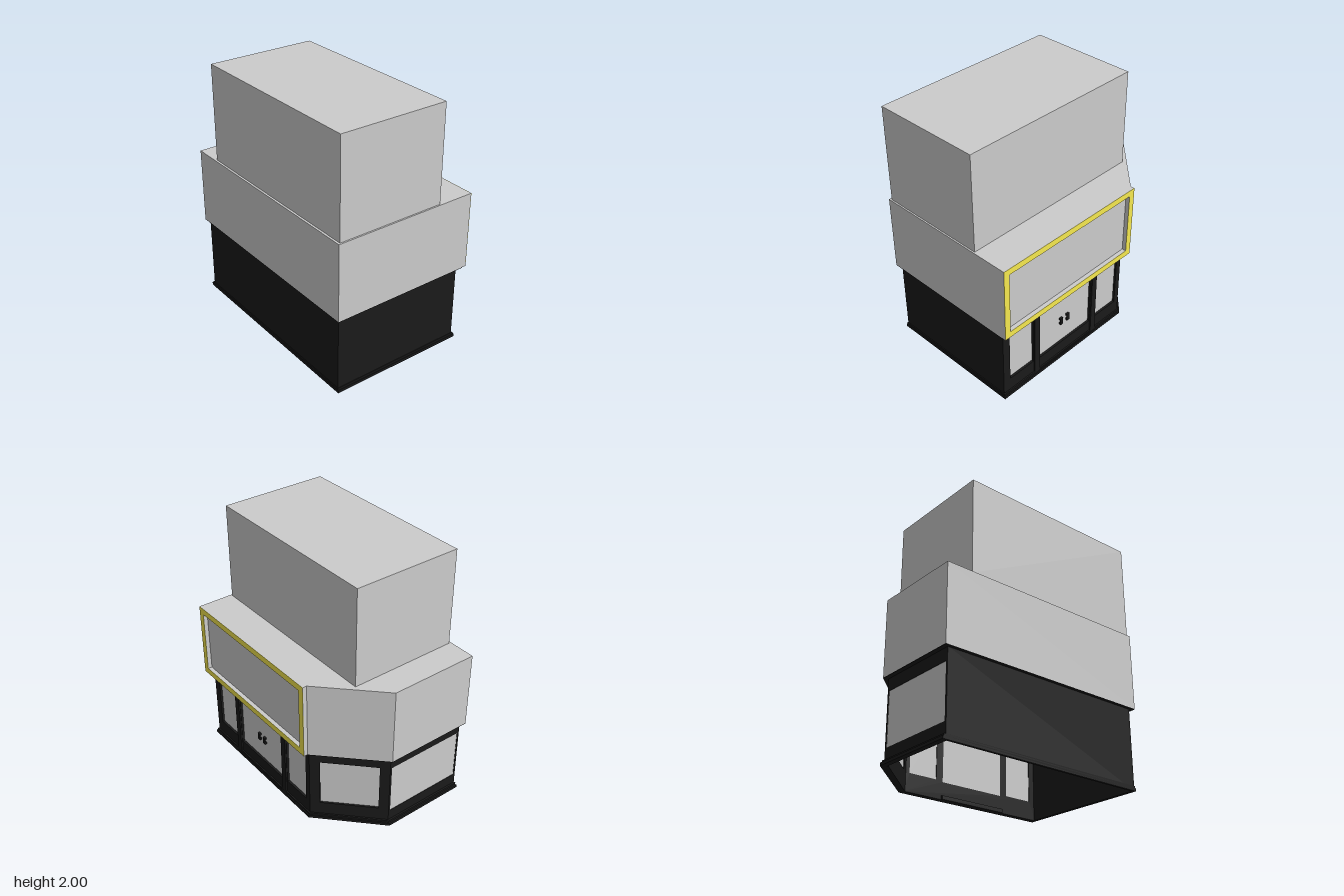
import * as THREE from 'three';

const grey = new THREE.MeshStandardMaterial({ color: 0xcccccc });
const black = new THREE.MeshStandardMaterial({ color: 0x1a1a1a });
const yellow = new THREE.MeshStandardMaterial({ color: 0xf5e84f });

// Plan outlines as [x, z] points, with one cut corner at back right
const BASE = [[-0.425, -0.525], [0.845, -0.525], [0.845, 0.56], [-0.845, 0.56], [-0.845, -0.115]];
const UPPER = [[-0.45, -0.555], [0.88, -0.555], [0.88, 0.585], [-0.88, 0.585], [-0.88, -0.13]];
const HEIGHT = 0.633;

export function createModel() {
  const model = new THREE.Group();

  const add = (name, geometry, material, parent = model) => {
    const mesh = new THREE.Mesh(geometry, material);
    mesh.name = name;
    parent.add(mesh);
    return mesh;
  };

  const box = (name, material, x0, x1, y0, y1, z0, z1, parent) => {
    const mesh = add(name, new THREE.BoxGeometry(x1 - x0, y1 - y0, z1 - z0), material, parent);
    mesh.position.set((x0 + x1) / 2, (y0 + y1) / 2, (z0 + z1) / 2);
    return mesh;
  };

  // Extrudes a plan outline upward, optionally hollow
  const slab = (name, material, outline, y0, y1, hole) => {
    const points = (list) => list.map(([x, z]) => new THREE.Vector2(x, -z));
    const shape = new THREE.Shape(points(outline));
    if (hole) shape.holes.push(new THREE.Path(points(hole)));
    const geometry = new THREE.ExtrudeGeometry(shape, { depth: y1 - y0, bevelEnabled: false });
    geometry.rotateX(-Math.PI / 2).translate(0, y0, 0);
    return add(name, geometry, material);
  };

  const rectangle = (Type, x0, x1, y0, y1) => new Type([[x0, y0], [x1, y0], [x1, y1], [x0, y1]]
    .map(([x, y]) => new THREE.Vector2(x, y)));

  // A wall between two plan points, with glazed openings [start, end, bottom, top]
  const wall = (name, a, b, thickness, recess, openings = []) => {
    const dx = b[0] - a[0], dz = b[1] - a[1];
    const group = new THREE.Group();
    group.name = name;
    group.position.set(a[0], 0, a[1]);
    group.rotation.y = Math.atan2(-dz, dx);
    const shape = rectangle(THREE.Shape, 0, Math.hypot(dx, dz), 0, HEIGHT);
    for (const [x0, x1, y0, y1] of openings) {
      shape.holes.push(rectangle(THREE.Path, x0, x1, y0, y1));
      box('windowPane', grey, x0, x1, y0, y1, recess, recess + 0.008, group);
    }
    add('wallPanel', new THREE.ExtrudeGeometry(shape, { depth: thickness, bevelEnabled: false }), black, group);
    model.add(group);
  };

  // Ground floor walls, open underneath
  const [cornerBack, backLeft, frontLeft, frontRight, cornerSide] = BASE;
  const x = (v) => v - cornerBack[0];
  wall('shopFront', cornerBack, backLeft, 0.03, 0.018, [
    [x(-0.38), x(-0.14), 0.145, 0.555],
    [x(-0.08), x(0.48), 0.135, 0.555],
    [x(0.54), x(0.78), 0.145, 0.555],
  ]);
  wall('leftWall', backLeft, frontLeft, 0.015, 0);
  wall('frontWall', frontLeft, frontRight, 0.015, 0);
  wall('rightWall', frontRight, cornerSide, 0.015, 0.003, [[0.016, 0.66, 0.125, 0.535]]);
  wall('cornerWall', cornerSide, cornerBack, 0.03, 0.015, [[0.075, 0.51, 0.145, 0.535]]);

  // Pilasters beside the doors, threshold and pull handles
  for (const side of [-1, 1]) {
    const px = 0.2 + side * 0.31;
    box('pilaster', black, px - 0.025, px + 0.025, 0, HEIGHT, -0.537, -0.52);
    const handle = new THREE.Group();
    handle.name = 'doorHandle';
    handle.position.set(0.2 + side * 0.035, 0.34, -0.507);
    box('handleBar', black, -0.013, 0.013, -0.03, 0.03, -0.018, -0.01, handle);
    for (const y of [-0.022, 0.022]) box('handleMount', black, -0.013, 0.013, y - 0.008, y + 0.008, -0.012, 0.002, handle);
    model.add(handle);
  }
  box('threshold', black, -0.09, 0.49, 0, 0.03, -0.54, -0.48);

  // Stepped plinth moulding around the foot of the walls
  const plinth = (s) => [
    [-0.425 - 0.008 * s, -0.525 - 0.02 * s], [0.845 + 0.011 * s, -0.525 - 0.02 * s],
    [0.845 + 0.011 * s, 0.56 + 0.006 * s], [-0.845 - 0.027 * s, 0.56 + 0.006 * s],
    [-0.845 - 0.027 * s, -0.115 - 0.008 * s],
  ];
  const inner = BASE.map(([px, pz]) => [px * 0.99, pz * 0.985]);
  slab('plinthFoot', black, plinth(1), 0, 0.022, inner);
  slab('plinthCap', black, plinth(0.55), 0.022, 0.038, inner);

  // Upper storey with a dark soffit under its overhang
  slab('soffit', black, UPPER, HEIGHT - 0.004, HEIGHT, inner);
  slab('upperStorey', grey, UPPER, HEIGHT, 1.237);
  box('tower', grey, -0.66, 0.868, 1.237, 2, -0.3, 0.568);

  // Sign frame on the back, with a coloured face
  const ring = rectangle(THREE.Shape, -0.45, 0.88, HEIGHT, 1.237);
  ring.holes.push(rectangle(THREE.Path, -0.4, 0.83, HEIGHT + 0.05, 1.187));
  const frame = add('signFrame', new THREE.ExtrudeGeometry(ring, { depth: 0.032, bevelEnabled: false }), grey);
  frame.position.z = -0.587;
  const face = add('signFrameFace', new THREE.ExtrudeGeometry(ring, { depth: 0.002, bevelEnabled: false }), yellow);
  face.position.z = -0.589;

  return model;
}
